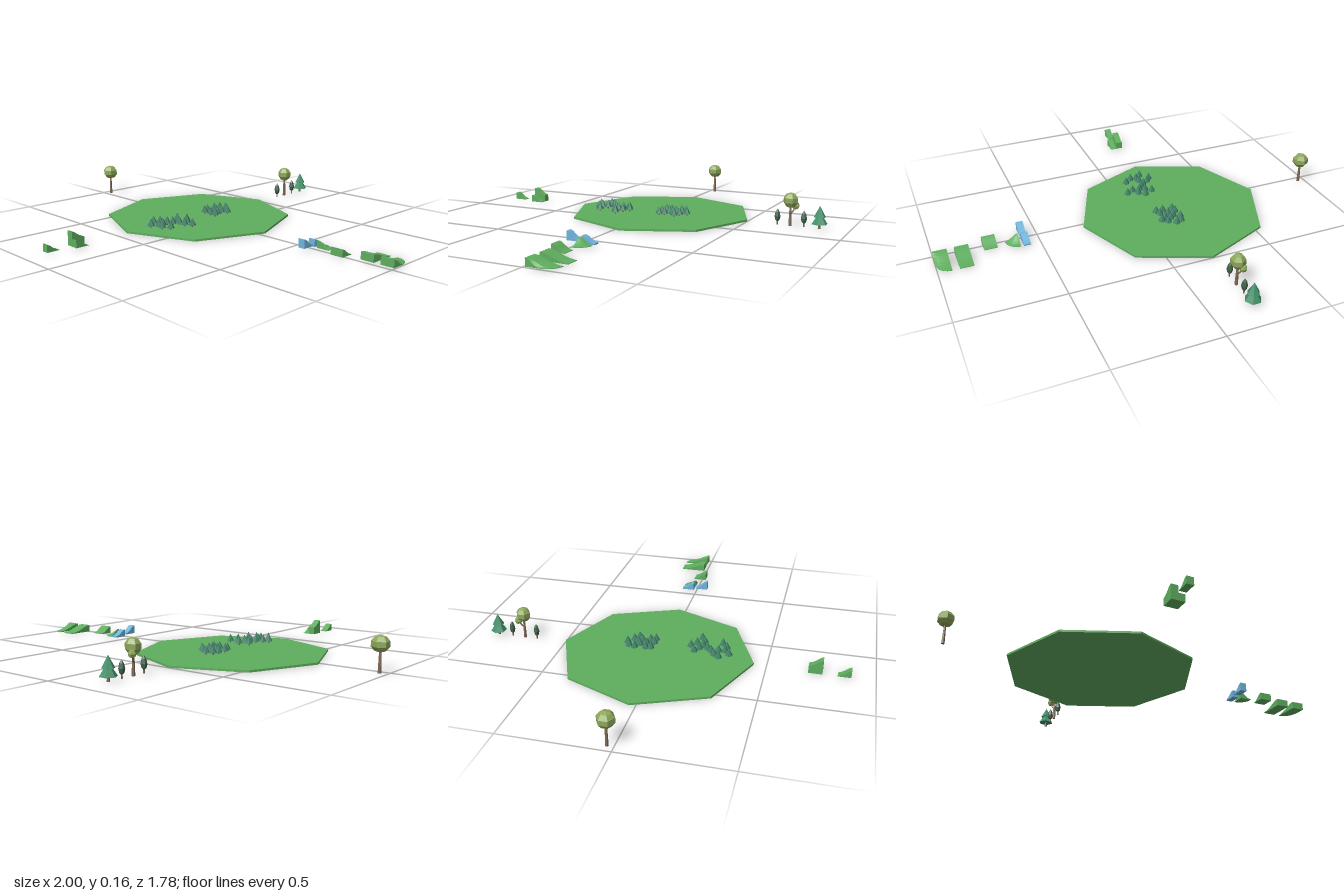
import * as THREE from 'three';

const mat = (color) => new THREE.MeshStandardMaterial({ color, flatShading: true });

export function createModel() {
  const model = new THREE.Group();
  const grass = mat(0x5fae5f), water = mat(0x6fb5dc), bark = mat(0x806a55);
  const leaf = mat(0x8fa85c), pine = mat(0x43906a), wood = mat(0x3f7f66), dark = mat(0x41644a);

  const add = (parent, name, geometry, material, x, y, z) => {
    const mesh = new THREE.Mesh(geometry, material);
    mesh.name = name;
    mesh.position.set(x, y, z);
    parent.add(mesh);
    return mesh;
  };
  const group = (name, x, z) => {
    const g = new THREE.Group();
    g.name = name;
    g.position.set(x, 0, z);
    model.add(g);
    return g;
  };

  // Octagonal meadow
  add(model, 'meadow', new THREE.CylinderGeometry(0.47, 0.47, 0.01, 8), grass, -0.2, 0.005, -0.03);

  // Sloped block: high wall in front, curved surface falling to the back.
  // warp(u, d) optionally remaps width fraction u and distance d from the wall to [x, z].
  const ramp = (name, x, z, width, depth, low, high, material = grass, base = 0.004, warp = null) => {
    const shape = new THREE.Shape();
    shape.moveTo(-depth, base);
    shape.lineTo(0, base);
    shape.lineTo(0, high);
    shape.bezierCurveTo(-depth * 0.3, high, -depth * 0.5, low + (high - low) * 0.15, -depth, low);
    const geo = new THREE.ExtrudeGeometry(shape, {
      depth: width, steps: warp ? 6 : 1, bevelEnabled: false, curveSegments: 6,
    });
    geo.rotateY(-Math.PI / 2).translate(width, 0, 0);
    if (warp) {
      const p = geo.attributes.position;
      for (let i = 0; i < p.count; i++) {
        const [wx, wz] = warp(p.getX(i) / width, -p.getZ(i));
        p.setX(i, wx);
        p.setZ(i, wz);
      }
      geo.computeVertexNormals();
    }
    add(model, name, geo, material, x, 0, z);
  };

  // Row of slope pieces on the left
  ramp('upperWaterSlope', 0.552, 0.06, 0.034, 0.062, 0.018, 0.055, water, 0.012);
  ramp('lowerWaterSlope', 0.55, -0.016, 0.034, 0.064, 0.01, 0.04, water);
  ramp('cornerSlope', 0.598, -0.015, 0.064, 0.064, 0.006, 0.04, grass, 0.004,
    (u, d) => [d * Math.sin(u * Math.PI / 2), -d * Math.cos(u * Math.PI / 2)]);
  ramp('straightSlope', 0.702, 0.021, 0.064, 0.066, 0.006, 0.04);
  ramp('longSlope', 0.834, -0.015, 0.066, 0.132, 0.006, 0.04);
  ramp('longCurvedSlope', 0.934, -0.015, 0.066, 0.132, 0.006, 0.04, grass, 0.004,
    (u, d) => [u * 0.066, -d * (0.5 + 0.5 * Math.sqrt(1 - u * u))]);

  // Slope pieces in front
  ramp('raisedSlope', -0.219, 0.76, 0.034, 0.066, 0.04, 0.075);
  ramp('lowSlope', -0.185, 0.76, 0.032, 0.066, 0.006, 0.04);
  ramp('narrowSlope', -0.219, 0.89, 0.034, 0.062, 0.006, 0.04);

  // Round-crowned trees
  const roundTree = (name, x, z, r) => {
    const g = group(name, x, z);
    add(g, 'trunk', new THREE.CylinderGeometry(0.005, 0.008, 0.1, 6), bark, 0, 0.05, 0);
    const crown = add(g, 'crown', new THREE.SphereGeometry(r, 6, 5), leaf, 0, 0.126, 0);
    crown.rotation.y = Math.PI / 2;
    crown.scale.y = 0.038 / r;
    return g;
  };
  roundTree('loneTree', -0.965, -0.03, 0.042);
  const branching = roundTree('branchingTree', -0.2, -0.716, 0.037);
  add(branching, 'smallCrown', new THREE.SphereGeometry(0.019, 6, 4), leaf, -0.015, 0.098, -0.021);
  const branch = add(branching, 'branch', new THREE.CylinderGeometry(0.003, 0.004, 0.04, 5), bark, -0.008, 0.073, -0.011);
  branch.rotation.set(-0.55, 0, 0.4);

  // Slim dark trees
  for (const z of [-0.653, -0.783]) {
    const g = group('slimTree', -0.2, z);
    add(g, 'trunk', new THREE.CylinderGeometry(0.004, 0.004, 0.03, 5), bark, 0, 0.015, 0);
    const profile = [[0, 0.014], [0.011, 0.024], [0.015, 0.042], [0.01, 0.064], [0, 0.08]];
    add(g, 'foliage', new THREE.LatheGeometry(profile.map((p) => new THREE.Vector2(...p)), 6), dark, 0, 0, 0);
  }

  // Tiered pine
  const tall = group('tallPine', -0.2, -0.858);
  add(tall, 'trunk', new THREE.CylinderGeometry(0.006, 0.007, 0.03, 6), bark, 0, 0.015, 0);
  for (const [r, y, h] of [[0.039, 0.022, 0.062], [0.029, 0.056, 0.054]]) {
    add(tall, 'tier', new THREE.ConeGeometry(r, h, 6), pine, 0, y + h / 2, 0).rotation.y = Math.PI / 2;
  }

  // Two groves of small pines, placed as x, z pairs in hundredths
  const groves = [
    [-16, -19, -19, -17.5, -12.5, -16.5, -20, -14.5, -15, -14, -10, -14.5, -17, -12.5, -12.5, -12.5,
      -19.5, -9, -15.5, -9.5, -11.5, -8.5, -19, -6.5, -14, -6, -10.5, -6],
    [-12.5, 12, -17, 14.5, -9.5, 14.5, -14, 16.5, -4, 16, -7.5, 18, -11.5, 18, -13.5, 20.5,
      -15.5, 22.5, -18.5, 24.5, -20.5, 27, -14.5, 26, -14, 29, -7.5, 27, -11, 29.5, -17, 31.5],
  ];
  const smallCone = new THREE.ConeGeometry(0.019, 0.037, 6);
  const smallTrunk = new THREE.CylinderGeometry(0.004, 0.004, 0.012, 5);
  for (const spots of groves) {
    const grove = group('grove', 0, 0);
    for (let i = 0; i < spots.length; i += 2) {
      const x = spots[i] / 100, z = spots[i + 1] / 100;
      add(grove, 'smallTrunk', smallTrunk, bark, x, 0.014, z);
      add(grove, 'smallPine', smallCone, wood, x, 0.037, z).rotation.y = Math.PI / 2;
    }
  }
  return model;
}
